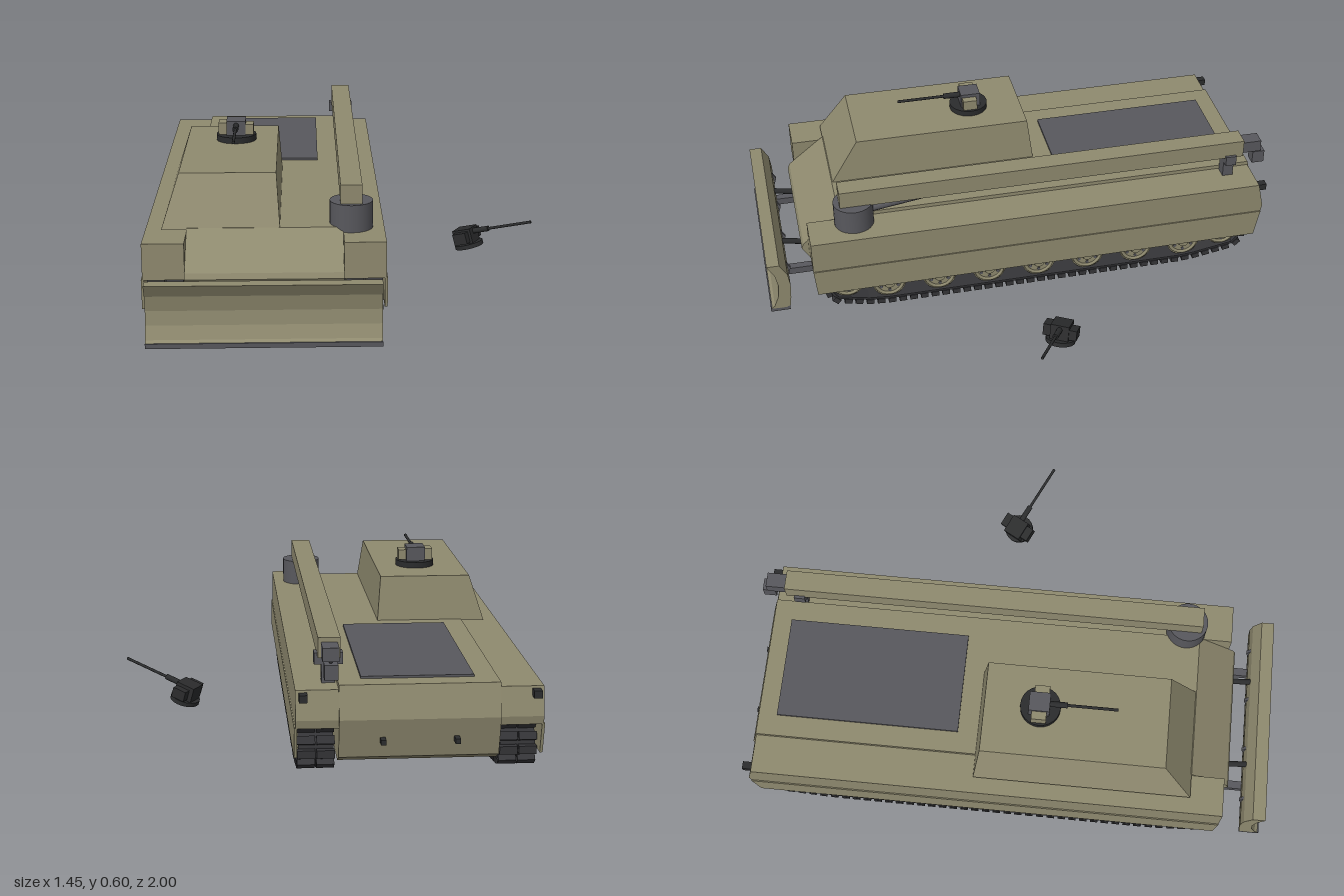
import * as THREE from 'three';
import { mergeGeometries } from 'three/addons/utils/BufferGeometryUtils.js';

const mat = (name, color) => Object.assign(new THREE.MeshStandardMaterial({ color }), { name });
const olive = mat('olive paint', 0x8f8a6f);
const grey = mat('grey metal', 0x58585d);
const dark = mat('dark gunmetal', 0x2b2c2d);
const rubber = mat('track rubber', 0x353538);

const CX = -0.3075;   // centre line of the vehicle
const SIDE = 0.345;   // distance from centre line to each track

export function createModel() {
  const model = new THREE.Group();
  const add = (name, geo, material, parent = model) => {
    const mesh = new THREE.Mesh(geo, material);
    mesh.name = name;
    parent.add(mesh);
    return mesh;
  };
  // Box given by its limits on each axis
  const box = (name, m, x0, x1, y0, y1, z0, z1, parent = model) => {
    const b = add(name, new THREE.BoxGeometry(x1 - x0, y1 - y0, z1 - z0), m, parent);
    b.position.set((x0 + x1) / 2, (y0 + y1) / 2, (z0 + z1) / 2);
    return b;
  };
  // Side profile of [z, y] points extruded from x0 to x1
  const profile = (name, m, pts, x0, x1, holes = []) => {
    const shape = new THREE.Shape(pts.map(p => new THREE.Vector2(...p)));
    holes.forEach(h => shape.holes.push(new THREE.Path(h.map(p => new THREE.Vector2(...p)))));
    const geo = new THREE.ExtrudeGeometry(shape, { depth: x1 - x0, bevelEnabled: false });
    geo.rotateY(-Math.PI / 2).translate(x1, 0, 0);
    return add(name, geo, m);
  };
  // Round bar between two points
  const rod = (name, m, a, b, r, parent = model) => {
    const p = new THREE.Vector3(...a), d = new THREE.Vector3(...b).sub(p);
    const mesh = add(name, new THREE.CylinderGeometry(r, r, d.length(), 12), m, parent);
    mesh.position.copy(p).addScaledVector(d, 0.5);
    mesh.quaternion.setFromUnitVectors(new THREE.Vector3(0, 1, 0), d.normalize());
    return mesh;
  };

  // Central hull with sloped glacis and folded rear plate
  profile('hull', olive, [[-0.95, 0.355], [-0.977, 0.24], [-0.945, 0.1], [-0.9, 0.075],
    [0.68, 0.075], [0.8, 0.13], [0.853, 0.22], [0.845, 0.24], [0.7, 0.355]], CX - 0.272, CX + 0.272);
  box('engineDeck', grey, -0.5, -0.115, 0.35, 0.363, -0.88, -0.19);

  // Superstructure: a box with its top drawn in
  const cab = new THREE.BoxGeometry(1, 1, 1);
  const cp = cab.attributes.position;
  for (let i = 0; i < cp.count; i++) {
    const top = cp.getY(i) > 0, right = cp.getX(i) > 0, front = cp.getZ(i) > 0;
    cp.setXYZ(i, right ? (top ? -0.268 : -0.255) : (top ? -0.61 : -0.667),
      top ? 0.523 : 0.35,
      front ? (top ? 0.59 : 0.7) : (top ? -0.093 : -0.115));
  }
  cab.computeVertexNormals();
  add('superstructure', cab, olive);

  // Track path: two end circles, flat ground run and top run, as [z, y]
  const ring = [];
  const arc = (z, y, r, a0, a1) => {
    for (let i = 0; i <= 10; i++) {
      const a = a0 + (a1 - a0) * i / 10;
      ring.push([z + r * Math.cos(a), y + r * Math.sin(a)]);
    }
  };
  arc(0.695, 0.115, 0.076, -0.95, Math.PI / 2);
  arc(-0.82, 0.115, 0.076, Math.PI / 2, Math.PI + 0.95);
  ring.push([-0.7, 0.024], [-0.64, 0.019], [0.54, 0.019], [0.62, 0.026]);
  const path = new THREE.CurvePath();
  ring.forEach((p, i) => path.add(new THREE.LineCurve(
    new THREE.Vector2(...p), new THREE.Vector2(...ring[(i + 1) % ring.length]))));
  // Inner edge of the belt, shrunk toward its middle
  const inner = ring.map((p, i) => {
    const a = ring[(i + ring.length - 1) % ring.length], b = ring[(i + 1) % ring.length];
    const dz = b[0] - a[0], dy = b[1] - a[1], l = Math.hypot(dz, dy);
    return [p[0] - dy / l * 0.01, p[1] + dz / l * 0.01];
  });
  const pads = [];
  const padCount = 82;
  for (let i = 0; i < padCount; i++) {
    const u = i / padCount, p = path.getPointAt(u), t = path.getTangentAt(u);
    for (const x of [-0.033, 0.033]) {
      const g = new THREE.BoxGeometry(0.061, 0.021, 0.029);
      g.rotateX(-Math.atan2(t.y, t.x)).translate(x, p.y - t.x * 0.0085, p.x + t.y * 0.0085);
      pads.push(g);
    }
  }
  const padGeo = mergeGeometries(pads);

  // Road wheel: tyre disc, raised rim, hub and ring of bolts, axis on x
  const wheel = (x, y, z, r) => {
    const g = new THREE.Group();
    g.name = 'roadWheel';
    for (const k of [-1, 1]) {
      const disc = add('wheelDisc', new THREE.CylinderGeometry(r, r, 0.035, 24), olive, g);
      disc.rotation.z = Math.PI / 2;
      disc.position.x = k * 0.03;
      const rim = add('wheelRim', new THREE.TorusGeometry(r * 0.82, 0.007, 6, 24), olive, g);
      rim.rotation.y = Math.PI / 2;
      rim.position.x = k * 0.048;
      const hub = add('wheelHub', new THREE.CylinderGeometry(r * 0.3, r * 0.38, 0.014, 12), olive, g);
      hub.rotation.z = -k * Math.PI / 2;
      hub.position.x = k * 0.053;
      for (let i = 0; i < 6; i++) {
        const a = i * Math.PI / 3;
        const hole = add('wheelHole', new THREE.CylinderGeometry(r * 0.1, r * 0.1, 0.004, 8), grey, g);
        hole.rotation.z = Math.PI / 2;
        hole.position.set(k * 0.048, Math.cos(a) * r * 0.58, Math.sin(a) * r * 0.58);
      }
    }
    g.position.set(x, y, z);
    model.add(g);
  };

  // Everything repeated on both sides
  for (const s of [-1, 1]) {
    const c = CX + s * SIDE;
    profile('sponson', olive, [[-0.95, 0.34], [-0.972, 0.24], [-0.966, 0.21], [0.825, 0.21], [0.825, 0.34]],
      c - 0.0725, c + 0.0725);
    const xs = c + s * 0.072;
    profile('sideSkirt', olive, [[-0.966, 0.212], [-0.945, 0.102], [0.815, 0.102], [0.825, 0.212]], xs - 0.005, xs + 0.005);
    profile('trackBelt', rubber, ring, c - 0.06, c + 0.06, [inner]);
    add('trackPads', padGeo, rubber).position.x = c;
    for (let i = 0; i < 7; i++) wheel(c, 0.092, 0.535 - i * 0.199, 0.066);
    wheel(c, 0.115, 0.695, 0.062);
    wheel(c, 0.115, -0.82, 0.062);
    box('tailLight', dark, c + s * 0.047 - 0.014, c + s * 0.047 + 0.014, 0.306, 0.332, -0.985, -0.95);
    box('towHook', dark, CX + s * 0.125 - 0.009, CX + s * 0.125 + 0.009, 0.156, 0.174, -0.995, -0.95);

    // Blade arms
    box('bladeArm', grey, CX + s * 0.232 - 0.015, CX + s * 0.232 + 0.015, 0.08, 0.108, 0.74, 0.93);
    rod('bladeRam', dark, [CX + s * 0.168, 0.165, 0.8], [CX + s * 0.168, 0.19, 0.93], 0.011);
    for (const o of [0.1, 0.3]) {
      const x = CX + s * o;
      profile('bladeRib', grey, [[0.905, 0.16], [0.935, 0.06], [0.955, 0.1], [0.955, 0.2], [0.945, 0.225]], x - 0.006, x + 0.006);
    }
  }

  // Dozer blade with hollow front and dark cutting edge
  profile('dozerBlade', olive, [[0.998, 0.25], [0.972, 0.205], [0.961, 0.15], [0.966, 0.1], [0.984, 0.055], [0.998, 0.045],
    [0.925, 0.04], [0.918, 0.09], [0.915, 0.15], [0.922, 0.2], [0.95, 0.25]].reverse(), -0.705, 0.09);
  box('cuttingEdge', grey, -0.705, 0.09, 0.03, 0.047, 0.925, 1);

  // Crane
  const pivot = add('cranePivot', new THREE.CylinderGeometry(0.076, 0.076, 0.1, 32), grey);
  pivot.position.set(-0.006, 0.388, 0.645);
  box('craneBoom', olive, -0.045, 0.031, 0.435, 0.506, -0.9, 0.698);
  rod('craneRam', grey, [-0.007, 0.395, 0.6], [-0.007, 0.43, 0.37], 0.018);
  box('boomRestPost', grey, -0.03, 0.016, 0.335, 0.435, -0.87, -0.828);
  box('boomRestCradle', grey, -0.056, 0.042, 0.405, 0.445, -0.87, -0.828);
  box('boomTip', grey, -0.035, 0.021, 0.443, 0.49, -0.975, -0.895);
  box('hookBlock', grey, -0.03, 0.016, 0.385, 0.437, -0.995, -0.947);
  rod('hookCable', dark, [-0.007, 0.43, -0.965], [-0.007, 0.46, -0.965], 0.006);

  // Machine gun on a round mount, pointing along its own +z
  const gun = (name, r, boxMat, sideMat) => {
    const g = new THREE.Group();
    g.name = name;
    const base = add('gunRing', new THREE.CylinderGeometry(r, r, r * 0.3, 24), dark, g);
    base.position.y = r * 0.15;
    box('gunCradle', boxMat, -0.036, 0.036, 0.018, 0.077, -0.042, 0.035, g);
    box('ammoBox', sideMat, 0.036, 0.066, 0.024, 0.064, -0.025, 0.03, g);
    box('sightBox', sideMat, -0.066, -0.036, 0.024, 0.069, -0.03, 0.025, g);
    rod('gunJacket', dark, [0, 0.06, 0.03], [0, 0.06, 0.1], 0.011, g);
    rod('gunBarrel', dark, [0, 0.06, 0.1], [0, 0.06, 0.285], 0.0055, g);
    model.add(g);
    return g;
  };
  gun('roofGun', 0.075, grey, olive).position.set(-0.425, 0.523, 0.115);

  // Separate gun lying tilted beside the vehicle
  const loose = gun('looseGun', 0.057, dark, dark);
  loose.rotation.order = 'YXZ';
  loose.rotation.set(-0.29, 1.065, 0);
  loose.position.set(0.492, 0.029, -0.052);

  return model;
}
